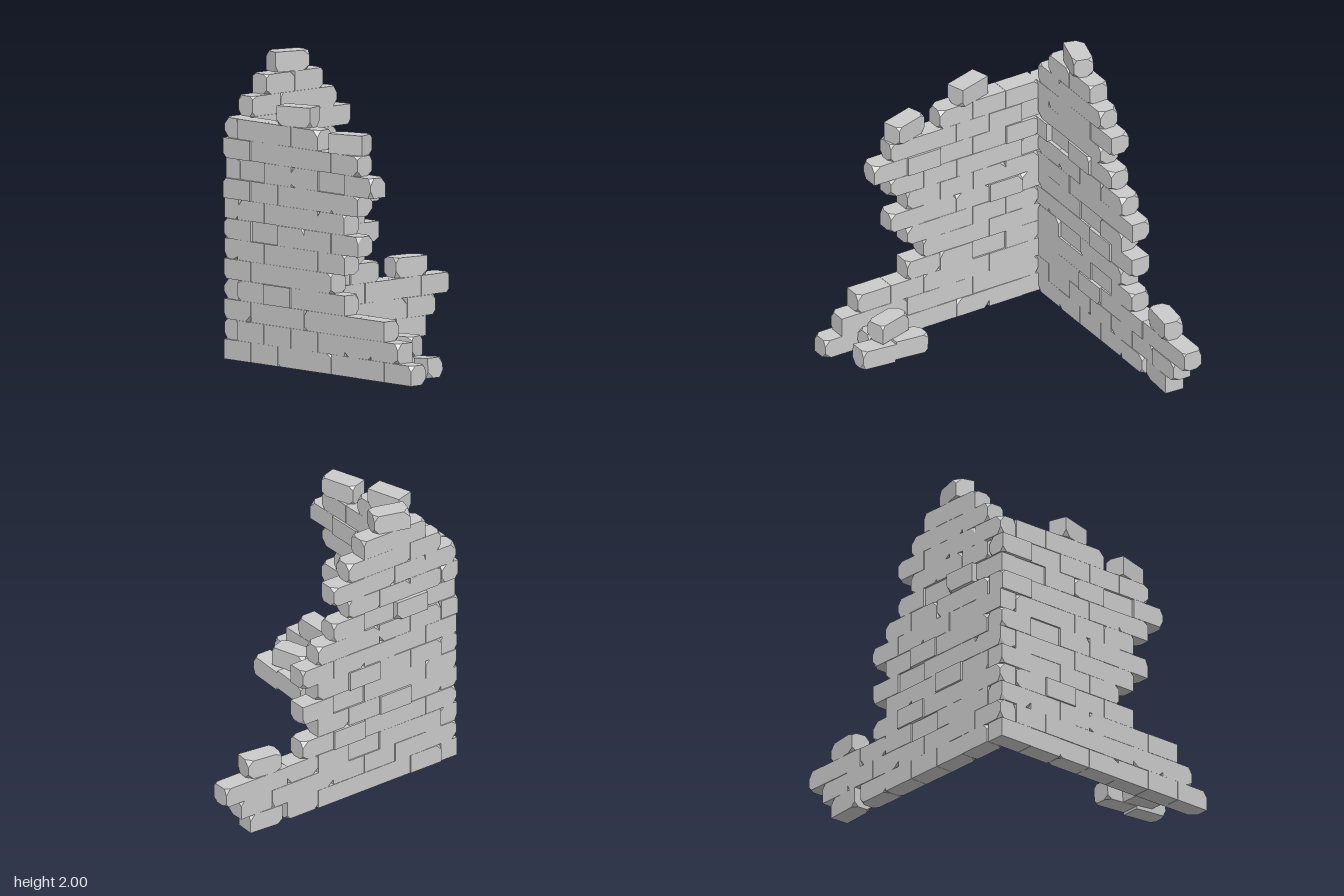
import * as THREE from 'three';
import { ConvexGeometry } from 'three/addons/geometries/ConvexGeometry.js';

const LEN = 0.2545, COURSE = 2 / 15, HEIGHT = 0.1325, DEPTH = 0.134;

export function createModel() {
  const model = new THREE.Group();
  model.name = 'ruinedCornerWall';
  const material = new THREE.MeshStandardMaterial({ color: 0xcccccc, flatShading: true });

  // small seeded generator for wear and unevenness
  let seed = 7;
  const rand = () => (seed = (seed * 16807) % 2147483647) / 2147483647;

  // Stone block along local x; corners are broken off with a chance per end
  function brickGeometry(chipStart, chipEnd, length = LEN - 0.002) {
    const points = [];
    for (const sx of [-1, 1]) for (const sy of [-1, 1]) for (const sz of [-1, 1]) {
      const x = sx * length / 2, y = sy * HEIGHT / 2, z = sz * DEPTH / 2;
      if (rand() < (sx < 0 ? chipStart : chipEnd)) {
        const c = () => 0.018 + rand() * 0.03;
        points.push(new THREE.Vector3(x - sx * c(), y, z),
          new THREE.Vector3(x, y - sy * c(), z),
          new THREE.Vector3(x, y, z - sz * c()));
      } else points.push(new THREE.Vector3(x, y, z));
    }
    return new ConvexGeometry(points);
  }

  function addBrick(parent, name, geometry, position, rotation = [0, 0, 0]) {
    const mesh = new THREE.Mesh(geometry, material);
    mesh.name = name;
    mesh.position.set(...position);
    mesh.rotation.set(...rotation);
    parent.add(mesh);
  }

  // Wall running along local +x; alternate courses are shifted half a brick
  function buildWall(name, counts, starts, shifts) {
    const wall = new THREE.Group();
    wall.name = name;
    counts.forEach((count, row) => {
      const first = row === 13 ? 1 : 0;
      for (let i = first; i < count; i++) {
        const startWear = i === first ? 0.6 : 0.06;
        const endWear = i === count - 1 ? 0.75 : 0.06;
        const jitter = (rand() - 0.5) * 0.006;
        const shift = shifts[row + ':' + i] ?? jitter;
        addBrick(wall, name + 'Brick', brickGeometry(startWear, endWear),
          [starts[row % 2] + (i + 0.5) * LEN, (row + 0.5) * COURSE, shift]);
      }
    });
    model.add(wall);
    return wall;
  }

  // Back wall: bricks per course, from the ground up
  const back = buildWall('backWall', [5, 7, 7, 5, 4, 5, 4, 5, 4, 4, 3, 4, 3, 3], [-0.81, -0.937],
    { '9:0': 0.015, '9:1': -0.024, '9:2': 0.014, '4:1': -0.014, '6:2': -0.012, '5:3': 0.012, '2:2': 0.01, '3:3': -0.013 });
  back.position.z = -0.815;

  // Side wall, turned to run towards the front
  const side = buildWall('sideWall', [7, 6, 6, 4, 4, 4, 5, 4, 5, 5, 5, 3], [-0.877, -0.75],
    { '10:0': 0.012, '8:0': 0.01, '9:3': -0.013, '6:1': -0.014, '3:1': 0.012, '9:0': -0.012 });
  side.position.x = -0.876;
  side.rotation.y = -Math.PI / 2;

  // Loose stones on top of the walls, the detached base stone and fallen rubble
  const Q = Math.PI / 2;
  const loose = [
    ['topStone', [-0.427, 14.5 * COURSE, -0.815], [0, -0.28, 0]],
    ['ledgeStone', [0.64, 3.5 * COURSE, -0.815], [0, -0.13, 0]],
    ['baseStone', [0.632, 0.5 * COURSE, -0.815], [0, -0.06, 0]],
    ['sideTopStone', [-0.875, 12.5 * COURSE, -0.242], [0, 0.29 - Q, 0]],
    ['sideLedgeStone', [-0.875, 11.5 * COURSE, 0.252], [0, 0.3 - Q, 0]],
    ['rubbleUpperStone', [-0.666, 0.209, 0.51], [0, 0.29 - Q, 0]],
    ['rubbleLeaningStone', [-0.738, 0.085, 0.53], [-0.11, -Q, 0]],
    ['rubbleRearStone', [-0.608, 0.071, 0.402], [-0.07, -Q, 0]],
    ['rubbleFrontStone', [-0.608, 0.071, 0.654], [-0.07, -Q, 0]],
  ];
  for (const [name, position, rotation] of loose) {
    const startWear = name === 'rubbleFrontStone' ? 0 : 0.6;
    const endWear = name === 'rubbleRearStone' ? 0 : 0.6;
    addBrick(model, name, brickGeometry(startWear, endWear), position, rotation);
  }
  return model;
}
